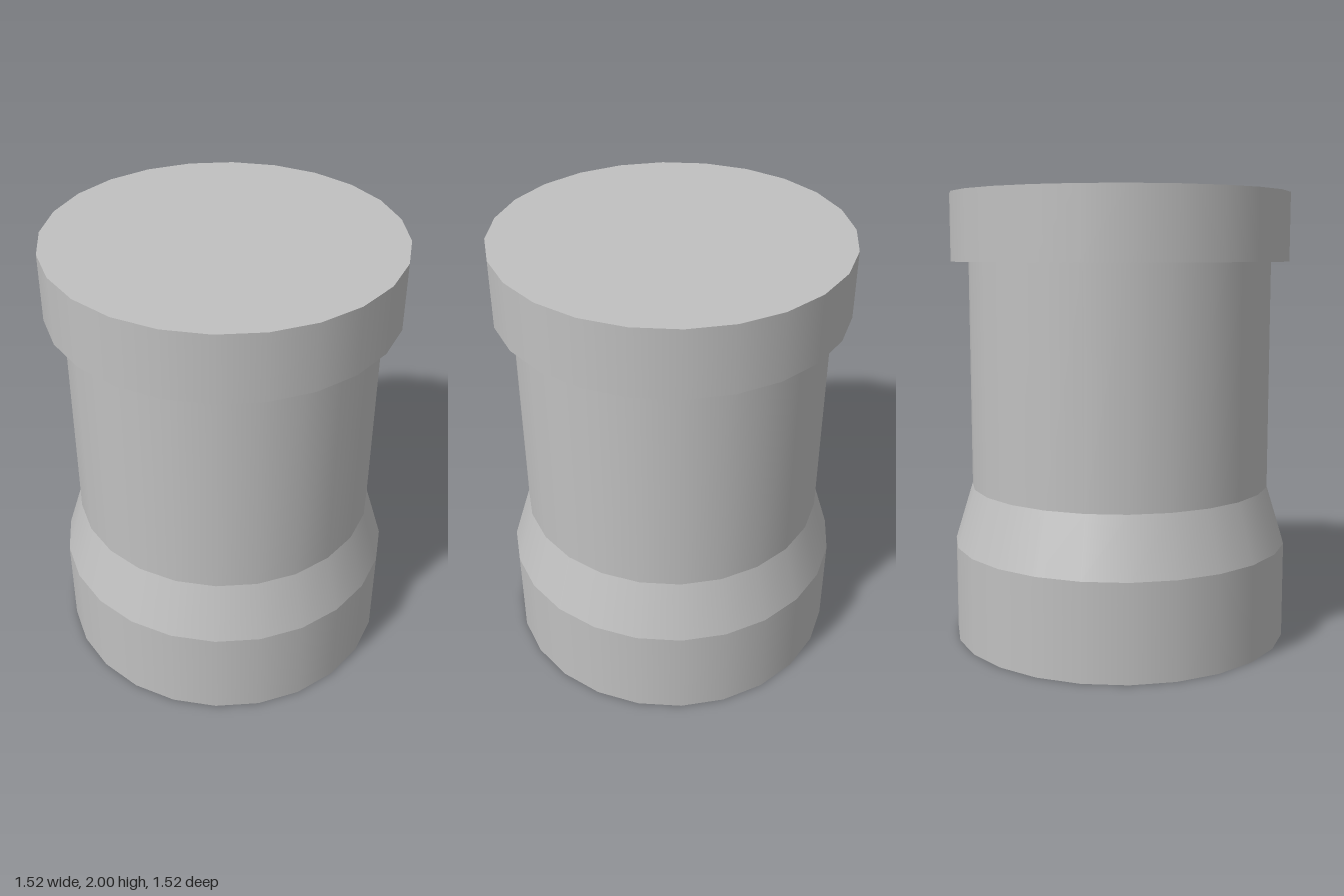
import * as THREE from 'three';

const SIDES = 24;

export function createModel() {
  const group = new THREE.Group();
  const grey = new THREE.MeshStandardMaterial({ color: 0xc0c0c0 });
  grey.name = 'plain grey';

  // Smooth-sided round section between two heights
  const section = (name, rTop, rBottom, y0, y1, open) => {
    const geometry = new THREE.CylinderGeometry(rTop, rBottom, y1 - y0, SIDES, 1, open);
    const mesh = new THREE.Mesh(geometry, grey);
    mesh.name = name;
    mesh.position.y = (y0 + y1) / 2;
    group.add(mesh);
  };

  section('base', 0.76, 0.76, 0, 0.43, false);
  section('taper', 0.68, 0.76, 0.43, 0.69, true);
  section('column', 0.68, 0.68, 0.69, 1.7, true);
  section('topCap', 0.76, 0.76, 1.7, 2, false);

  return group;
}
